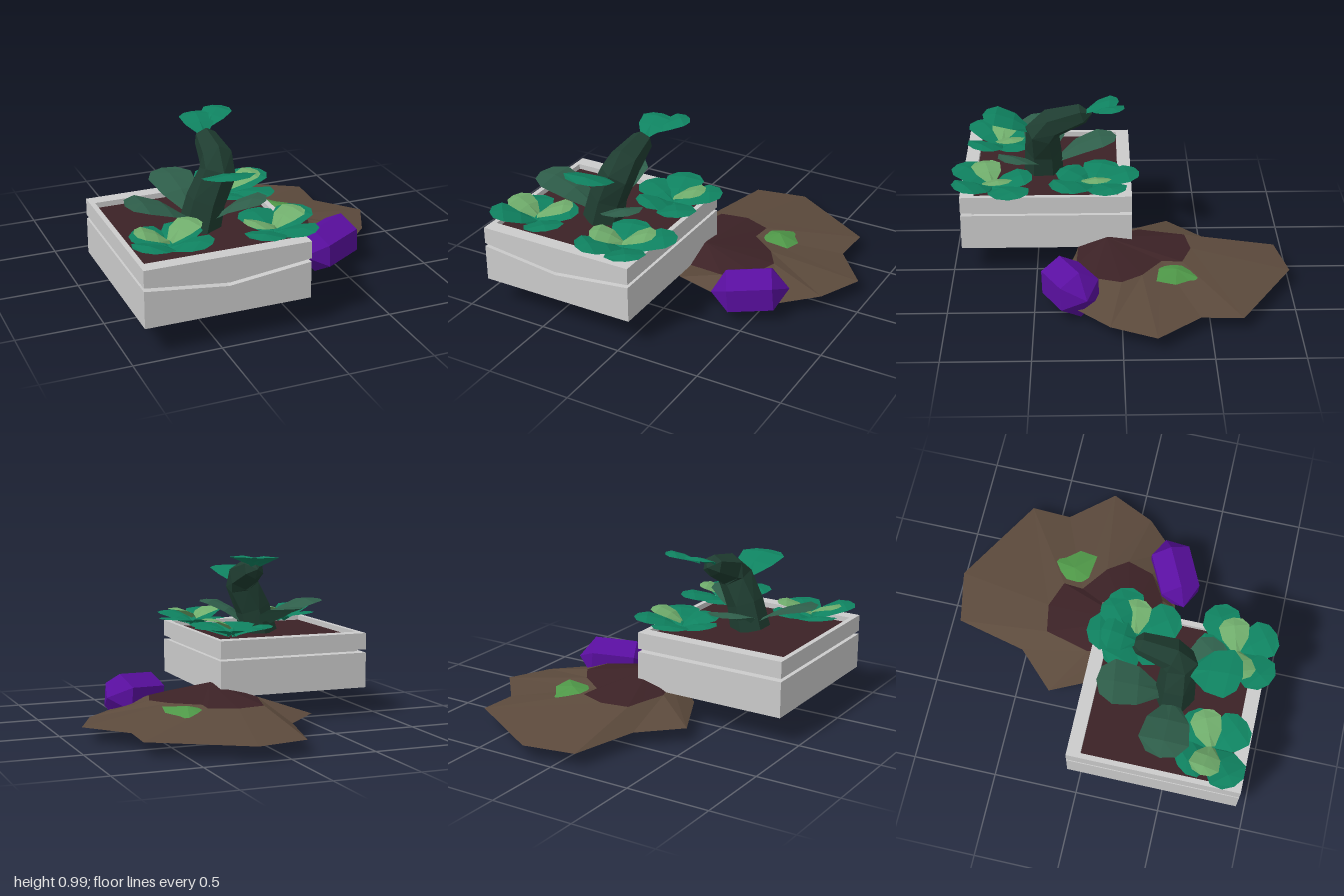
import * as THREE from 'three';

const V = (x, y, z) => new THREE.Vector3(x, y, z);
const mat = (color, side = THREE.FrontSide) =>
  new THREE.MeshStandardMaterial({ color, flatShading: true, side });

const grey = mat(0xcccccc);
const soilMat = mat(0x3c2226);
const earthMat = mat(0x5c4a3c);
const stemMat = mat(0x1f3d31);
const crystalMat = mat(0x5a0fa0);
const patchMat = mat(0x4f9848, THREE.DoubleSide);
const bright = mat(0x0f8260, THREE.DoubleSide);
const muted = mat(0x2f5f4b, THREE.DoubleSide);
const light = mat(0x70ad6c, THREE.DoubleSide);

function mesh(parent, name, geometry, material) {
  const m = new THREE.Mesh(geometry, material);
  m.name = name;
  parent.add(m);
  return m;
}

function faceted(points) {
  const g = new THREE.BufferGeometry().setFromPoints(points);
  g.computeVertexNormals();
  return g;
}

// Skin through equal-sized rings of points, counter-clockwise about the direction of travel
function loft(rings) {
  const pts = [];
  for (let i = 0; i < rings.length - 1; i++) {
    const a = rings[i], b = rings[i + 1], n = a.length;
    for (let j = 0; j < n; j++) {
      const k = (j + 1) % n;
      pts.push(a[j], a[k], b[k], a[j], b[k], b[j]);
    }
  }
  return faceted(pts);
}
const collapse = (ring, p) => ring.map(() => p);

// Ring of n points about a centre, square to a direction
function ring(center, dir, radius, n, phase = 0) {
  const d = dir.clone().normalize();
  const u = V(1, 0, 0).addScaledVector(d, -d.x);
  if (u.length() < 0.6) u.set(0, 1, 0).addScaledVector(d, -d.y);
  u.normalize();
  const w = d.clone().cross(u);
  return Array.from({ length: n }, (_, i) => {
    const t = phase + (i / n) * Math.PI * 2;
    return center.clone().addScaledVector(u, Math.cos(t) * radius).addScaledVector(w, Math.sin(t) * radius);
  });
}

// Broad creased leaf that rises steeply from its base and flattens to a blunt tip
function leaf(parent, name, material, base, tip, width) {
  const b = V(...base), e = V(...tip);
  const side = V(e.z - b.z, 0, b.x - e.x).normalize();
  const rows = [[0, 0, 0.25], [0.35, 0.6, 0.85], [0.72, 0.95, 1], [0.93, 1, 0.6]].map(([t, h, w], i) => {
    const at = (s) => b.clone().lerp(e, t).setY(b.y + (e.y - b.y) * h).addScaledVector(side, s * w * width / 2);
    const mid = at(0);
    mid.y += 0.012;
    if (i === 3) mid.lerp(V(e.x, e.y, e.z), 0.9);
    return [at(-1), mid, at(1)];
  });
  const pts = [];
  for (let i = 0; i < 3; i++) {
    for (let j = 0; j < 2; j++) {
      const p = rows[i][j], q = rows[i][j + 1], r = rows[i + 1][j + 1], s = rows[i + 1][j];
      pts.push(p, q, r, p, r, s);
    }
  }
  mesh(parent, name, faceted(pts), material);
}

function box(parent, name, material, x0, x1, y0, y1, z0, z1) {
  mesh(parent, name, new THREE.BoxGeometry(x1 - x0, y1 - y0, z1 - z0), material)
    .position.set((x0 + x1) / 2, (y0 + y1) / 2, (z0 + z1) / 2);
}

function createPlanter() {
  const g = new THREE.Group();
  g.name = 'planter';
  box(g, 'planterCore', grey, -0.885, 0.015, 0.165, 0.455, 0, 0.88);
  box(g, 'soil', soilMat, -0.88, 0.01, 0.44, 0.468, 0.005, 0.87);
  // Upper and lower boards with a groove between them
  for (const [level, y0, y1] of [['lower', 0.165, 0.38], ['upper', 0.4, 0.5]]) {
    box(g, level + 'BackBoard', grey, -0.91, 0.04, y0, y1, -0.07, 0.01);
    box(g, level + 'LeftBoard', grey, 0.01, 0.04, y0, y1, 0.01, 0.87);
    box(g, level + 'RightBoard', grey, -0.91, -0.88, y0, y1, 0.01, 0.87);
    // Front boards meet along a shallow V
    const edge = level === 'lower' ? y1 : y0, flat = level === 'lower' ? y0 : y1;
    const shape = new THREE.Shape([[-0.91, flat], [0.04, flat], [0.04, edge], [-0.435, edge - 0.055], [-0.91, edge]]
      .map(([x, y]) => new THREE.Vector2(x, y)));
    mesh(g, level + 'FrontBoard', new THREE.ExtrudeGeometry(shape, { depth: 0.08, bevelEnabled: false }), grey)
      .position.z = 0.865;
  }
  return g;
}

function createMound() {
  const g = new THREE.Group();
  g.name = 'mound';
  const toRing = (list, y) => list.map(([x, z]) => V(x, y, z)).reverse();
  const outer = toRing([[-0.12, -0.94], [0.19, -1], [0.72, -0.68], [0.71, -0.44], [0.92, -0.19], [0.8, 0.07],
    [0.62, 0.25], [0.25, 0.34], [-0.02, 0.27], [-0.26, 0.08], [-0.44, -0.3], [-0.22, -0.52]], 0.08);
  const inner = toRing([[-0.1, -0.39], [0.07, -0.42], [0.23, -0.36], [0.22, -0.24], [0.38, -0.12], [0.46, 0],
    [0.41, 0.16], [0.25, 0.26], [0.04, 0.25], [-0.1, 0.08], [-0.17, -0.12], [-0.13, -0.27]], 0.167);
  mesh(g, 'earthSkirt', loft([collapse(outer, V(0.2, 0.08, -0.3)), outer, inner]), earthMat);
  mesh(g, 'darkEarth', loft([inner, collapse(inner, V(0.05, 0.235, 0.08))]), soilMat);
  // Grassy patch on the slope
  const grass = toRing([[0.2, -0.38], [0.29, -0.45], [0.38, -0.47], [0.41, -0.39], [0.47, -0.31], [0.45, -0.2],
    [0.3, -0.22], [0.24, -0.28]], 0);
  grass.forEach((p) => { p.y = 0.165 + (p.z + 0.2) * 0.12; });
  mesh(g, 'grassPatch', loft([grass, collapse(grass, V(0.34, 0.182, -0.32))]), patchMat);
  return g;
}

function createPlant() {
  const g = new THREE.Group();
  g.name = 'plant';
  // Thick stem hooking towards the back
  const path = [V(-0.42, 0.46, 0.46), V(-0.38, 0.62, 0.46), V(-0.31, 0.77, 0.46), V(-0.295, 0.83, 0.4), V(-0.29, 0.89, 0.22)];
  const radii = [0.12, 0.11, 0.105, 0.095, 0.065];
  const rings = path.map((p, i) => {
    const dir = path[Math.min(i + 1, 4)].clone().sub(path[Math.max(i - 1, 0)]);
    return ring(p, dir, radii[i], 6, Math.PI / 6);
  });
  rings.push(collapse(rings[4], V(-0.29, 0.89, 0.16)));
  mesh(g, 'stem', loft(rings), stemMat);

  // Leaves on the stem
  leaf(g, 'frontStemLeaf', bright, [-0.34, 0.76, 0.53], [-0.35, 0.86, 0.82], 0.29);
  leaf(g, 'topLeaf', bright, [-0.29, 0.9, 0.2], [-0.28, 0.97, 0], 0.2);
  leaf(g, 'topLeaf', bright, [-0.25, 0.92, 0.14], [-0.1, 0.98, 0.0], 0.18);
  leaf(g, 'baseLeaf', muted, [-0.48, 0.52, 0.46], [-0.85, 0.655, 0.46], 0.29);
  leaf(g, 'baseLeaf', muted, [-0.43, 0.52, 0.38], [-0.48, 0.655, 0.01], 0.27);
  leaf(g, 'baseLeaf', muted, [-0.34, 0.52, 0.5], [-0.11, 0.655, 0.68], 0.24);

  // Three leafy rosettes: outer leaves and paler inner leaves
  const rosettes = [
    { at: [-0.69, 0.49, 0.73],
      outer: [[-0.9, 0.58, 0.9], [-0.51, 0.56, 0.9], [-0.84, 0.55, 0.56], [-0.52, 0.55, 0.56]],
      inner: [[-0.88, 0.6, 0.7], [-0.5, 0.6, 0.64]] },
    { at: [-0.1, 0.49, 0.76],
      outer: [[-0.27, 0.57, 0.98], [0.05, 0.56, 0.97], [0.15, 0.55, 0.58], [-0.16, 0.55, 0.52]],
      inner: [[-0.28, 0.59, 0.82], [0.08, 0.6, 0.7]] },
    { at: [-0.12, 0.49, 0.16],
      outer: [[-0.17, 0.56, -0.12], [0.13, 0.56, 0.02], [0.04, 0.55, 0.4], [-0.24, 0.55, 0.36], [-0.36, 0.55, 0.08]],
      inner: [[0.07, 0.6, 0.13]] },
  ];
  for (const { at, outer, inner } of rosettes) {
    const r = new THREE.Group();
    r.name = 'leafRosette';
    outer.forEach((tip) => leaf(r, 'outerLeaf', bright, at, tip, 0.23));
    inner.forEach((tip) => leaf(r, 'innerLeaf', light, [at[0], at[1] + 0.04, at[2]], tip, 0.18));
    g.add(r);
  }
  return g;
}

// Six-sided crystal with pointed ends, lying on its side
function createCrystal(parent) {
  const c = V(0.455, 0.143, 0.295), axis = V(0.41, 0.035, -0.2).normalize();
  const rings = [[-0.225, 0], [-0.13, 0.138], [0.13, 0.138], [0.225, 0]]
    .map(([h, r]) => ring(c.clone().addScaledVector(axis, h), axis, r, 6, 0));
  mesh(parent, 'crystal', loft(rings), crystalMat);
}

export function createModel() {
  const model = new THREE.Group();
  model.name = 'planterScene';
  model.add(createPlanter(), createMound(), createPlant());
  createCrystal(model);
  return model;
}
